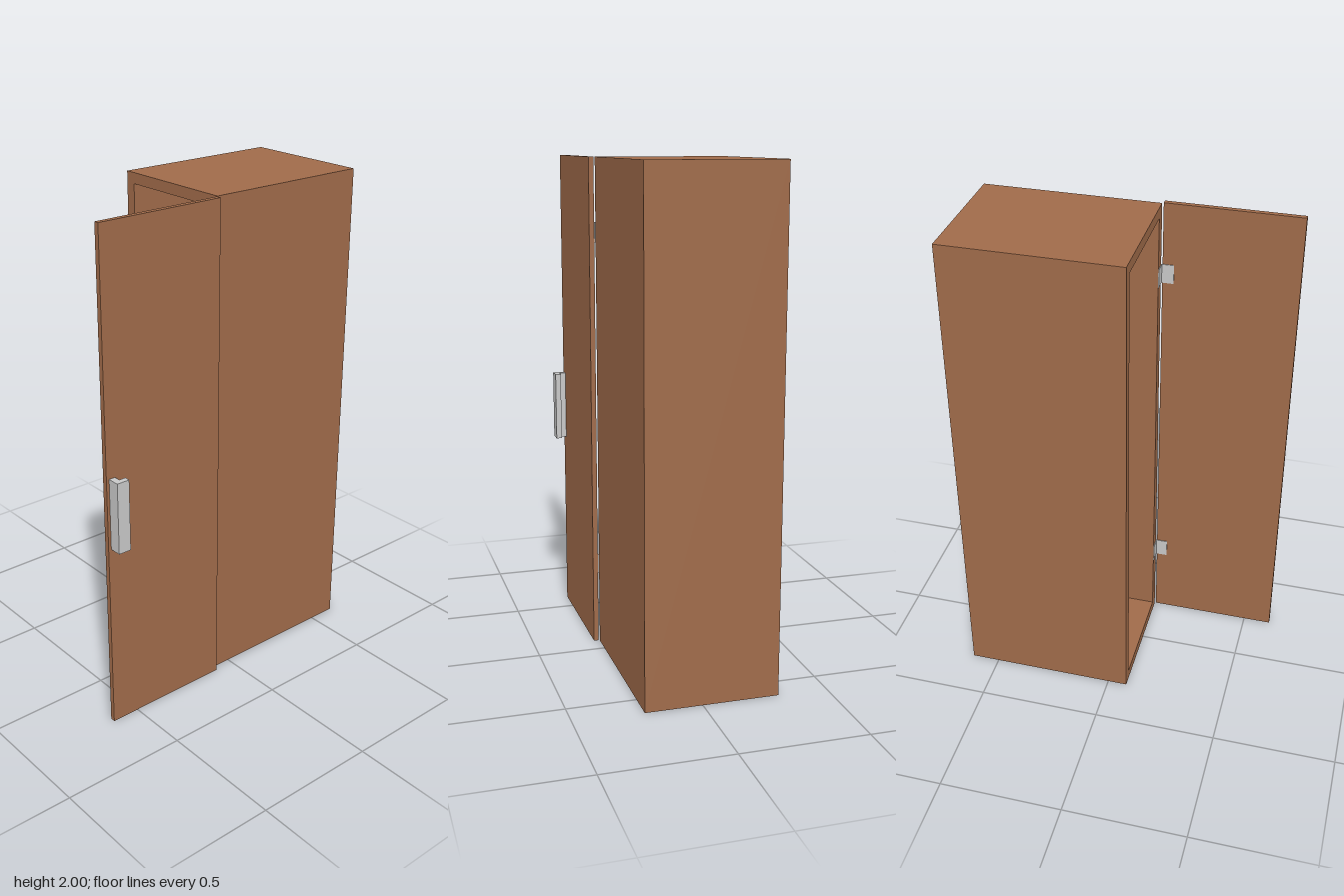
import * as THREE from 'three';

export function createModel() {
  const wood = new THREE.MeshStandardMaterial({ color: 0xa06b4a });
  wood.name = 'brownWood';
  const metal = new THREE.MeshStandardMaterial({ color: 0xc8c8c8 });
  metal.name = 'lightMetal';

  const model = new THREE.Group();
  model.name = 'wardrobe';

  const add = (name, geometry, material, parent = model) => {
    const mesh = new THREE.Mesh(geometry, material);
    mesh.name = name;
    parent.add(mesh);
    return mesh;
  };
  // Box given by its minimum and maximum corners
  const box = (name, [x0, y0, z0], [x1, y1, z1], material, parent) =>
    add(name, new THREE.BoxGeometry(x1 - x0, y1 - y0, z1 - z0), material, parent)
      .position.set((x0 + x1) / 2, (y0 + y1) / 2, (z0 + z1) / 2);
  const rect = (Type, x0, y0, x1, y1) => new Type([
    new THREE.Vector2(x0, y0), new THREE.Vector2(x1, y0),
    new THREE.Vector2(x1, y1), new THREE.Vector2(x0, y1),
  ]);

  // Carcass: hollow frame closed by a back panel
  const back = -0.615, front = 0.08, panel = 0.04;
  const outline = rect(THREE.Shape, -0.302, 0, 0.226, 2);
  outline.holes.push(rect(THREE.Path, -0.26, 0.045, 0.182, 1.957));
  const frame = new THREE.ExtrudeGeometry(outline, { depth: front - back - panel, bevelEnabled: false });
  add('carcass', frame, wood).position.z = back + panel;
  box('backPanel', [-0.302, 0, back], [0.226, 2, back + panel], wood);

  // Hanging rail with an end socket on each side wall
  const railZ = (back + panel + front) / 2, railY = 1.857;
  const rod = (name, radius, x0, x1) => {
    const mesh = add(name, new THREE.CylinderGeometry(radius, radius, x1 - x0, 24), wood);
    mesh.rotation.z = Math.PI / 2;
    mesh.position.set((x0 + x1) / 2, railY, railZ);
  };
  rod('hangingRail', 0.013, -0.252, 0.174);
  rod('railSocketRight', 0.02, -0.26, -0.25);
  rod('railSocketLeft', 0.02, 0.172, 0.182);

  // Door standing open at a right angle
  box('door', [0.23, 0, 0.085], [0.25, 2, 0.615], wood);

  // Hinges: one leaf on the frame, one on the door
  for (const [name, y0] of [['lowerHinge', 0.303], ['upperHinge', 1.671]]) {
    const hinge = new THREE.Group();
    hinge.name = name;
    box('frameLeaf', [0.18, y0, 0.08], [0.23, y0 + 0.078, 0.083], metal, hinge);
    box('doorLeaf', [0.227, y0, 0.083], [0.23, y0 + 0.078, 0.13], metal, hinge);
    model.add(hinge);
  }

  // L-shaped handle, drawn in plan (x, -z) and extruded upwards
  const plan = new THREE.Shape([
    [0.25, -0.603], [0.299, -0.603], [0.299, -0.55],
    [0.276, -0.55], [0.276, -0.577], [0.25, -0.577],
  ].map(([x, y]) => new THREE.Vector2(x, y)));
  const handle = new THREE.ExtrudeGeometry(plan, { depth: 0.288, bevelEnabled: false });
  handle.rotateX(-Math.PI / 2);
  add('handle', handle, metal).position.y = 0.772;

  return model;
}
